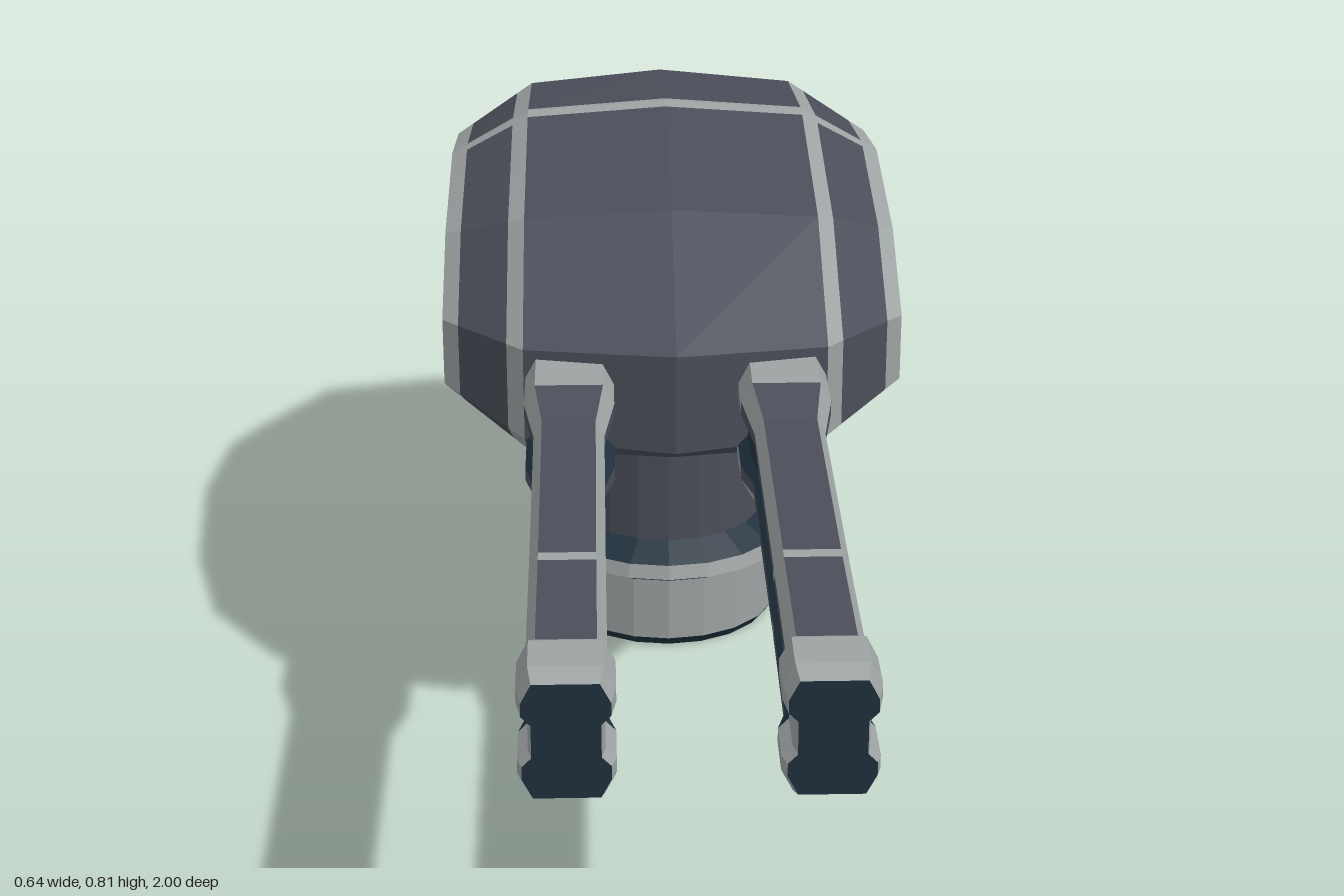
import * as THREE from 'three';

const mat = (name, color) => {
  const m = new THREE.MeshStandardMaterial({ color });
  m.name = name;
  m.flatShading = true;
  return m;
};

// Skin a row of closed rings; paint(i, j) picks the material of each quad
function loft(name, rings, materials, paint) {
  const buckets = materials.map(() => []);
  const a = new THREE.Vector3(), b = new THREE.Vector3();
  for (let i = 0; i < rings.length - 1; i++) {
    const n = rings[i].length;
    for (let j = 0; j < n; j++) {
      const k = (j + 1) % n;
      const p = rings[i][j], q = rings[i + 1][j], r = rings[i + 1][k], s = rings[i][k];
      for (const [u, v, w] of [[p, q, r], [p, r, s]]) {
        if (a.subVectors(v, u).cross(b.subVectors(w, u)).length() < 1e-9) continue;
        for (const c of [u, v, w]) buckets[paint(i, j)].push(c.x, c.y, c.z);
      }
    }
  }
  const geo = new THREE.BufferGeometry();
  geo.setAttribute('position', new THREE.Float32BufferAttribute(buckets.flat(), 3));
  let start = 0;
  buckets.forEach((bucket, m) => {
    geo.addGroup(start, bucket.length / 3, m);
    start += bucket.length / 3;
  });
  geo.computeVertexNormals();
  const mesh = new THREE.Mesh(geo, materials);
  mesh.name = name;
  return mesh;
}

export function createModel() {
  const model = new THREE.Group();
  model.name = 'turret';
  const slate = mat('slate armour', 0x4b4e59);
  const steel = mat('light steel', 0x9da2a2);
  const navy = mat('dark navy', 0x1f303c);
  const blue = mat('blue glow', 0x2648b8);
  const skins = [slate, steel, navy];
  const SLATE = 0, STEEL = 1, NAVY = 2;

  // Hull outlines as [z, y], from the front top corner over the back
  const outlines = {
    middle: [[0.15, 0.64], [-0.1, 0.76], [-0.46, 0.81], [-0.78, 0.765], [-1, 0.645],
      [-1, 0.5], [-0.8, 0.4], [-0.46, 0.36], [-0.1, 0.385], [0.15, 0.5]],
    shoulder: [[0.105, 0.635], [-0.11, 0.745], [-0.46, 0.795], [-0.76, 0.75], [-0.955, 0.635],
      [-0.955, 0.505], [-0.78, 0.4], [-0.46, 0.355], [-0.11, 0.395], [0.105, 0.505]],
    side: [[-0.05, 0.62], [-0.2, 0.695], [-0.46, 0.73], [-0.67, 0.695], [-0.8, 0.62],
      [-0.8, 0.525], [-0.67, 0.455], [-0.46, 0.42], [-0.2, 0.455], [-0.05, 0.525]],
  };
  // Split the top and bottom points so a narrow cross band fits there
  const ring = (pts, x) => {
    const v = pts.map(([z, y]) => new THREE.Vector3(x, y, z));
    return v.flatMap((p, j) => (j === 2 || j === 7)
      ? [p.clone().lerp(v[j - 1], 0.06), p, p.clone().lerp(v[j + 1], 0.06)] : [p]);
  };
  const blend = (r, s, t) => r.map((p, j) => p.clone().lerp(s[j], t));
  const shrink = (r, x, f) => r.map(p => new THREE.Vector3(x,
    0.575 + (p.y - 0.575) * f * 0.95, -0.425 + (p.z + 0.425) * f));

  // Rings from the window centre to the middle of the hull
  const half = s => {
    const side = ring(outlines.side, 0.32 * s);
    const shoulder = ring(outlines.shoulder, 0.205 * s);
    return [
      shrink(side, 0.31 * s, 0), shrink(side, 0.31 * s, 0.9), shrink(side, 0.32 * s, 0.91), side,
      blend(shoulder, side, 0.8), blend(shoulder, side, 0.2), shoulder,
    ];
  };
  const hullRings = [...half(-1), ring(outlines.middle, 0), ...half(1).reverse()];
  const bands = [NAVY, NAVY, STEEL, STEEL, SLATE, STEEL, SLATE];
  const crossBand = [2, 3, 8, 9, 10];
  model.add(loft('hull', hullRings, skins, (i, j) => {
    const m = bands[Math.min(i, hullRings.length - 2 - i)];
    return m === SLATE && crossBand.includes(j) && j !== 8 ? STEEL : m;
  }));

  // Thin seam down each side window
  for (const s of [-1, 1]) {
    const seam = new THREE.Mesh(new THREE.BoxGeometry(0.004, 0.25, 0.006), steel);
    seam.name = 'windowSeam';
    seam.position.set(0.311 * s, 0.575, -0.445);
    model.add(seam);
  }

  // Barrel section, clockwise from the top right, with a groove in each side
  const quarter = [[0.034, 0.063], [0.045, 0.042], [0.045, 0.028], [0.035, 0.018]];
  const right = [...quarter, ...quarter.map(([x, y]) => [x, -y]).reverse()];
  const section = [...right, ...right.map(([x, y]) => [-x, y]).reverse()];
  // Stations along the barrel: z, width scale, height scale
  const stations = [[0.0, 1.32, 1.3], [0.2, 1.32, 1.3], [0.28, 1.02, 1.02], [0.665, 1, 1],
    [0.685, 1, 1], [0.89, 1, 1.05], [0.915, 1.2, 1.24], [0.975, 1.2, 1.24], [1, 1.08, 1.1]];
  const steelSpans = [0, 3, 5, 6, 7];
  const barrelPaint = (i, j) => {
    const k = j % 8;
    if (k >= 2 && k <= 4) return i >= 6 ? STEEL : NAVY;
    if (steelSpans.includes(i)) return STEEL;
    return k === 0 || k === 6 ? STEEL : SLATE;
  };
  for (const s of [-1, 1]) {
    const gun = new THREE.Group();
    gun.name = s > 0 ? 'leftBarrel' : 'rightBarrel';
    gun.position.set(0.143 * s, 0.541, 0);
    gun.add(loft('barrelBody', stations.map(([z, sx, sy]) =>
      section.map(([x, y]) => new THREE.Vector3(x * sx, y * sy, z))), skins, barrelPaint));

    const face = new THREE.Shape(section.map(([x, y]) => new THREE.Vector2(x * 1.08, y * 1.1)));
    const muzzle = new THREE.Mesh(new THREE.ShapeGeometry(face), navy);
    muzzle.name = 'muzzleFace';
    muzzle.position.z = 1;
    gun.add(muzzle);

    // Glowing strip in the inner groove
    const glow = new THREE.Mesh(new THREE.BoxGeometry(0.006, 0.018, 0.52), blue);
    glow.name = 'glowStrip';
    glow.position.set(-0.036 * s, 0, 0.57);
    gun.add(glow);
    model.add(gun);
  }

  // Pedestal, turned in pieces from bottom to top as [radius, y]
  const pedestal = [
    ['footBottom', navy, [[0, 0], [0.163, 0], [0.174, 0.015]]],
    ['foot', steel, [[0.174, 0.015], [0.174, 0.114]]],
    ['collarUnderside', slate, [[0.172, 0.113], [0.198, 0.127]]],
    ['collarRim', steel, [[0.198, 0.127], [0.192, 0.148]]],
    ['collarTop', navy, [[0.192, 0.148], [0.149, 0.171]]],
    ['column', slate, [[0.149, 0.17], [0.149, 0.42]]],
  ];
  for (const [name, material, pts] of pedestal) {
    const mesh = new THREE.Mesh(
      new THREE.LatheGeometry(pts.map(p => new THREE.Vector2(...p)), 20), material);
    mesh.name = name;
    mesh.position.z = -0.42;
    model.add(mesh);
  }
  return model;
}
